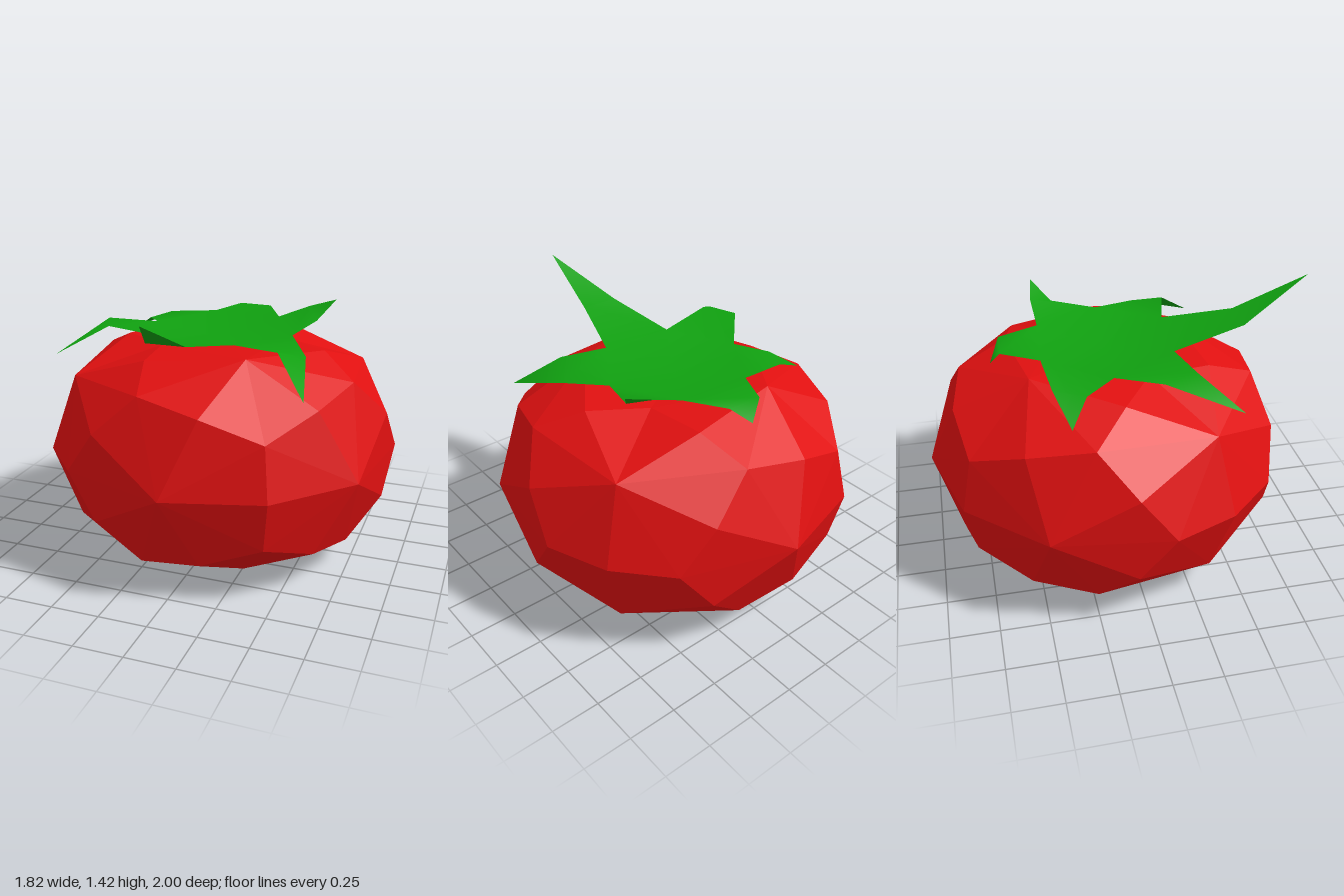
import * as THREE from 'three';

const CENTRE = new THREE.Vector3(0, 0.57, -0.075);
const RADIUS = 0.926;

// Squash a unit direction into the fruit; the two poles are flattened and dented
function fruitPoint(dir) {
  const a = Math.abs(dir.y);
  let h = a * 0.745;
  if (a > 0.97) h = 0.535;
  else if (a > 0.9) h = 0.53;
  else if (a > 0.83) h = 0.565;
  else if (a > 0.7) h = 0.53;
  return new THREE.Vector3(dir.x * RADIUS, Math.sign(dir.y) * h, dir.z * RADIUS).add(CENTRE);
}

// Icosahedron split into kites: corner, edge middle, face centre, edge middle
function fruitGeometry() {
  const m = new THREE.Vector3(0.526, 0, 0.851);
  const p = new THREE.Vector3(0.851, 0, -0.526);
  const y = new THREE.Vector3(0, 1, 0);
  const corners = [];
  for (const [long, short] of [[y, m], [m, p], [p, y]])
    for (const s of [-1, 1]) for (const t of [-1, 1])
      corners.push(new THREE.Vector3().addScaledVector(long, 0.851 * s).addScaledVector(short, 0.526 * t));

  const near = (a, b) => a.distanceTo(b) < 1.2;
  const mid = (...v) => v.reduce((sum, q) => sum.add(q), new THREE.Vector3()).normalize();
  const pts = [];
  const tri = (a, b, c) => {
    const n = b.clone().sub(a).cross(c.clone().sub(a));
    const out = mid(a, b, c);
    pts.push(...(n.dot(out) > 0 ? [a, b, c] : [a, c, b]).map(fruitPoint));
  };
  for (let i = 0; i < 12; i++) for (let j = i + 1; j < 12; j++) for (let k = j + 1; k < 12; k++) {
    const f = [corners[i], corners[j], corners[k]];
    if (!near(f[0], f[1]) || !near(f[1], f[2]) || !near(f[0], f[2])) continue;
    const c = mid(...f);
    for (let e = 0; e < 3; e++) {
      const a = f[e], b = f[(e + 1) % 3], ab = mid(a, b);
      tri(a, ab, c);
      tri(ab, b, c);
    }
  }
  const g = new THREE.BufferGeometry().setFromPoints(pts);
  g.computeVertexNormals();
  return g;
}

// Star of six pointed sepals around a sunken centre
function calyxGeometry() {
  const valleys = [
    [-0.21, 1.18, 0.24], [0.17, 1.18, 0.27], [0.38, 1.17, -0.05],
    [0.21, 1.18, -0.39], [-0.17, 1.18, -0.42], [-0.39, 1.17, -0.1],
  ];
  // Each sepal: first shoulder, tip, second shoulder (sepal i runs from valley i to i + 1)
  const sepals = [
    [[-0.14, 1.25, 0.62], [0.01, 1.43, 1.0], [0.06, 1.25, 0.62]],
    [[0.41, 1.18, 0.33], [0.59, 1.01, 0.52], [0.51, 1.13, 0.18]],
    [[0.45, 1.2, -0.28], [0.53, 1.3, -0.38], [0.38, 1.25, -0.4]],
    [[0.1, 1.19, -0.6], [0, 1.1, -0.655], [-0.08, 1.19, -0.61]],
    [[-0.43, 1.16, -0.4], [-0.63, 1.06, -0.34], [-0.5, 1.15, -0.25]],
    [[-0.58, 1.22, 0.1], [-0.71, 1.1, 0.45], [-0.5, 1.22, 0.27]],
  ];
  const pos = [0, 1.115, -0.07, ...valleys.flat(), ...sepals.flat(2)];
  const index = [];
  for (let i = 0; i < 6; i++) {
    const a = 1 + i, b = 1 + (i + 1) % 6, s = 7 + i * 3, tip = s + 1, t = s + 2;
    index.push(0, a, b, a, s, t, a, t, b, s, tip, t);
  }
  const g = new THREE.BufferGeometry();
  g.setAttribute('position', new THREE.Float32BufferAttribute(pos, 3));
  g.setIndex(index);
  g.computeVertexNormals();
  return g;
}

export function createModel() {
  const group = new THREE.Group();
  const fruit = new THREE.Mesh(fruitGeometry(),
    new THREE.MeshStandardMaterial({ color: 0xe01010, flatShading: true }));
  fruit.name = 'fruit';
  const calyx = new THREE.Mesh(calyxGeometry(),
    new THREE.MeshStandardMaterial({ color: 0x10a010, side: THREE.DoubleSide }));
  calyx.name = 'calyx';
  group.add(fruit, calyx);
  return group;
}
